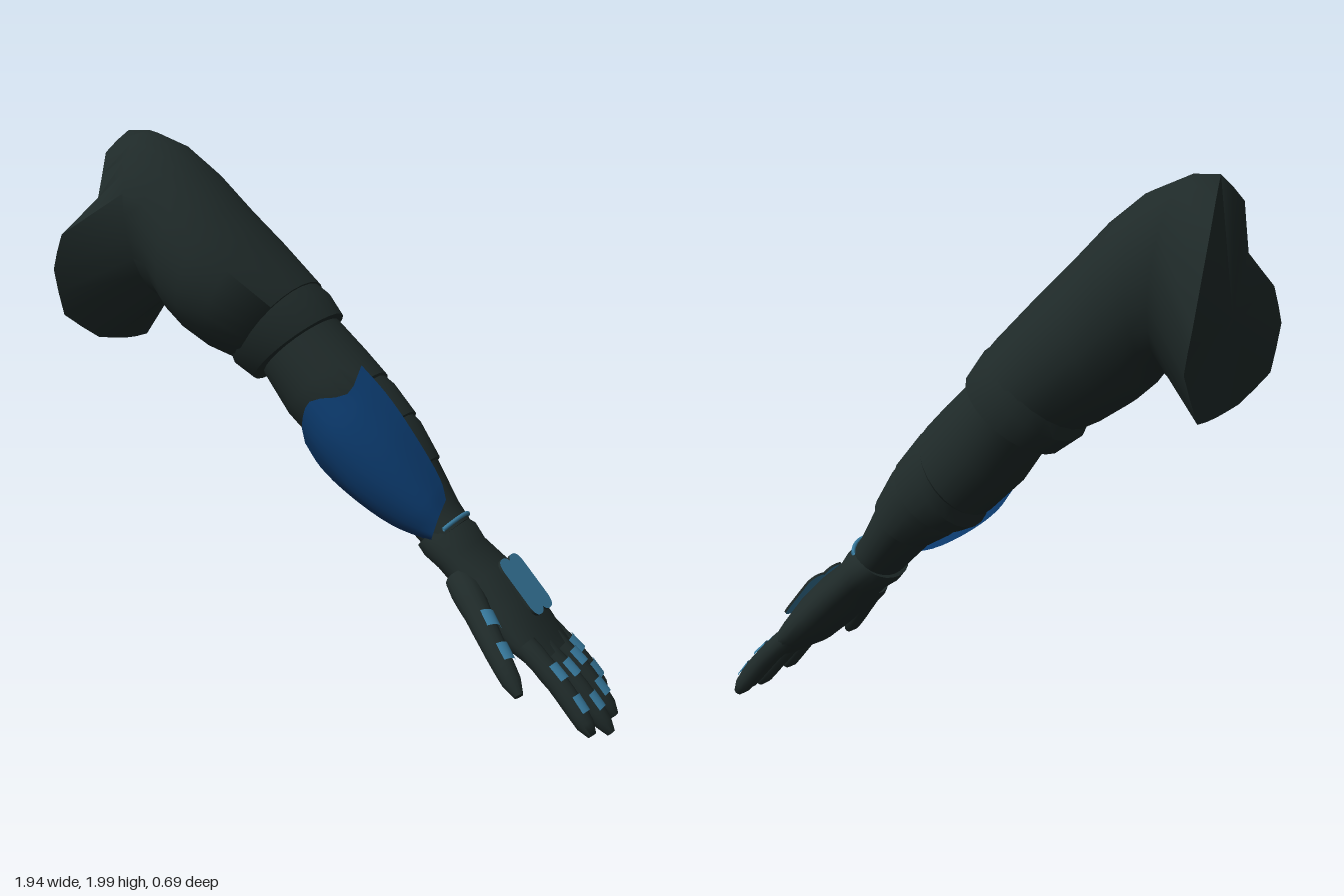
import * as THREE from 'three';
import { toCreasedNormals } from 'three/addons/utils/BufferGeometryUtils.js';

const V = (x, y, z) => new THREE.Vector3(x, y, z);
const N = 24;

// Oval section from its top point, bottom point and depth range
function oval([xt, yt, xb, yb, z0, z1]) {
  return Array.from({ length: N }, (_, i) => {
    const a = (i / N) * Math.PI * 2, c = Math.cos(a) / 2, s = Math.sin(a) / 2;
    return V((xt + xb) / 2 + c * (xt - xb), (yt + yb) / 2 + c * (yt - yb), (z0 + z1) / 2 + s * (z1 - z0));
  });
}

// Closed skin over a row of sections
function loft(rings, crease = 0.9) {
  const n = rings[0].length, pos = [], idx = [];
  rings.forEach((r) => r.forEach((p) => pos.push(p.x, p.y, p.z)));
  const ends = [rings[0], rings[rings.length - 1]].map((r) => {
    const c = r.reduce((s, p) => s.add(p), V(0, 0, 0)).divideScalar(n);
    pos.push(c.x, c.y, c.z);
    return pos.length / 3 - 1;
  });
  const last = (rings.length - 1) * n;
  for (let j = 0; j < n; j++) {
    const k = (j + 1) % n;
    for (let i = 0; i < rings.length - 1; i++) {
      const a = i * n + j, b = i * n + k;
      idx.push(a, b, a + n, b, b + n, a + n);
    }
    idx.push(ends[0], k, j, ends[1], last + j, last + k);
  }
  const g = new THREE.BufferGeometry();
  g.setAttribute('position', new THREE.Float32BufferAttribute(pos, 3));
  g.setIndex(idx);
  return toCreasedNormals(g, crease);
}

// Side and back-of-hand axes for a direction
function frame(d) {
  const side = V(0, 0, 1).addScaledVector(d, -d.z).normalize();
  return { side, up: side.clone().cross(d) };
}

// Round tapering limb along a smooth path
function limb(points, radii, n = 14) {
  const curve = new THREE.CatmullRomCurve3(points);
  const rings = radii.map((r, i) => {
    const t = i / (radii.length - 1), c = curve.getPointAt(t);
    const { side, up } = frame(curve.getTangentAt(t));
    return Array.from({ length: n }, (_, j) => {
      const a = (j / n) * Math.PI * 2;
      return c.clone().addScaledVector(up, r * Math.cos(a)).addScaledVector(side, r * Math.sin(a));
    });
  });
  return { curve, geometry: loft(rings, 1.2) };
}

// Open curved sheet from rows of points
function sheet(rows, n = 12) {
  const across = rows.map((r) => new THREE.CatmullRomCurve3(r.map((p) => V(...p))).getPoints(n));
  const pos = [], idx = [], m = 16;
  for (let j = 0; j <= n; j++) {
    const along = new THREE.CatmullRomCurve3(across.map((r) => r[j])).getPoints(m);
    along.forEach((p) => pos.push(p.x, p.y, p.z));
  }
  for (let j = 0; j < n; j++) for (let i = 0; i < m; i++) {
    const a = j * (m + 1) + i, b = a + m + 1;
    idx.push(a, b, a + 1, b, b + 1, a + 1);
  }
  const g = new THREE.BufferGeometry();
  g.setAttribute('position', new THREE.Float32BufferAttribute(pos, 3));
  g.setIndex(idx);
  g.computeVertexNormals();
  return g;
}

export function createModel() {
  const model = new THREE.Group();
  const mat = (name, color) => new THREE.MeshStandardMaterial({ name, color, side: THREE.DoubleSide });
  const cloth = mat('dark cloth', 0x1f2a29);
  const blue = mat('guard blue', 0x0a3768);
  const light = mat('plate blue', 0x37799d);
  const add = (name, geometry, material, parent = model) => {
    const m = new THREE.Mesh(geometry, material);
    m.name = name;
    parent.add(m);
    return m;
  };

  // Sleeve with an angular shoulder end and a flap towards the chest
  const rim = new THREE.CatmullRomCurve3([
    V(-0.92, 2.0, -0.06), V(-0.96, 1.92, 0.03), V(-0.95, 1.76, 0.1), V(-0.95, 1.64, 0.32),
    V(-0.97, 1.52, 0.345), V(-0.95, 1.36, 0.32), V(-0.9, 1.27, 0.19), V(-0.89, 1.25, 0.04),
    V(-0.89, 1.25, -0.1), V(-0.9, 1.42, -0.23), V(-0.96, 1.57, -0.31), V(-0.97, 1.85, -0.23),
  ], true, 'catmullrom', 0.1);
  const rimRing = Array.from({ length: N }, (_, i) => rim.getPoint(i / N));
  add('sleeve', loft([rimRing, ...[
    [-0.83, 2.0, -0.77, 1.4, -0.275, 0.16],
    [-0.7, 1.95, -0.74, 1.39, -0.28, 0.17],
    [-0.58, 1.86, -0.7, 1.34, -0.295, 0.19],
    [-0.46, 1.74, -0.63, 1.28, -0.31, 0.2],
    [-0.34, 1.62, -0.54, 1.22, -0.33, 0.18],
    [-0.2, 1.47, -0.44, 1.17, -0.33, 0.1],
  ].map((r) => oval(r))], 1.2), cloth);

  add('elbowCuff', loft([
    [-0.24, 1.49, -0.49, 1.21, -0.325, 0.1],
    [-0.165, 1.435, -0.48, 1.16, -0.34, 0.09],
    [-0.11, 1.36, -0.41, 1.11, -0.325, 0.06],
    [-0.13, 1.34, -0.37, 1.13, -0.31, 0.04],
  ].map((r) => oval(r)), 0.7), cloth);

  // Forearm of three overlapping bands narrowing to the wrist
  add('forearm', loft([
    [-0.15, 1.36, -0.37, 1.13, -0.31, 0.04],
    [-0.02, 1.24, -0.27, 0.99, -0.32, 0.05],
    [0.06, 1.16, -0.14, 0.87, -0.32, 0.05],
    [0.06, 1.15, -0.12, 0.87, -0.31, 0.045],
    [0.09, 1.13, -0.1, 0.82, -0.315, 0.05],
    [0.18, 1.03, -0.03, 0.79, -0.3, 0.05],
    [0.175, 1.02, -0.01, 0.8, -0.29, 0.04],
    [0.2, 1.0, 0.01, 0.77, -0.29, 0.04],
    [0.28, 0.88, 0.1, 0.72, -0.265, 0.03],
    [0.275, 0.87, 0.11, 0.72, -0.255, 0.025],
    [0.36, 0.73, 0.24, 0.6, -0.23, 0.02],
    [0.41, 0.68, 0.29, 0.56, -0.2, 0.02],
  ].map((r) => oval(r)), 0.6), cloth);

  // Curved guard over the front of the forearm
  add('forearmGuard', sheet([
    [[0.04, 1.2, -0.03], [0.025, 1.11, 0.05], [-0.1, 1.08, 0.09], [-0.135, 1.0, 0.08], [-0.15, 0.92, 0.03]],
    [[0.13, 1.11, -0.035], [0.09, 1.04, 0.06], [0.02, 0.97, 0.115], [-0.04, 0.9, 0.1], [-0.09, 0.84, 0.03]],
    [[0.22, 1.0, -0.035], [0.19, 0.93, 0.06], [0.13, 0.85, 0.11], [0.07, 0.78, 0.09], [0.02, 0.75, 0.025]],
    [[0.34, 0.82, -0.035], [0.32, 0.77, 0.04], [0.28, 0.72, 0.07], [0.22, 0.68, 0.06], [0.18, 0.66, 0.02]],
    [[0.365, 0.76, -0.02], [0.36, 0.71, 0.03], [0.35, 0.67, 0.04], [0.34, 0.64, 0.04], [0.33, 0.62, 0.02]],
  ]), blue);

  // Wrist trim over the back of the wrist
  const band = oval([0.4, 0.695, 0.28, 0.57, -0.215, 0.03]);
  add('wristTrim', new THREE.TubeGeometry(
    new THREE.CatmullRomCurve3([...band.slice(-4), ...band.slice(0, 5)]), 24, 0.008, 6), light);

  // Glove
  const hand = new THREE.Group();
  hand.name = 'hand';
  model.add(hand);
  add('palm', loft([
    [0.37, 0.69, 0.25, 0.575, -0.215, 0.025],
    [0.425, 0.66, 0.275, 0.545, -0.24, 0.04],
    [0.46, 0.61, 0.33, 0.51, -0.235, 0.04],
    [0.55, 0.54, 0.41, 0.435, -0.245, 0.05],
    [0.64, 0.45, 0.5, 0.345, -0.26, 0.07],
    [0.7, 0.37, 0.6, 0.265, -0.265, 0.075],
    [0.74, 0.31, 0.67, 0.23, -0.255, 0.07],
    [0.765, 0.28, 0.705, 0.21, -0.245, 0.06],
  ].map((r) => oval(r))), cloth, hand);

  // Floating rounded plates on the back of the hand, with dark edges
  const outline = new THREE.Shape();
  const w = 0.048, h = 0.112, r = 0.046;
  outline.moveTo(-w + r, -h).lineTo(w - r, -h).quadraticCurveTo(w, -h, w, -h + r)
    .lineTo(w, h - r).quadraticCurveTo(w, h, w - r, h).lineTo(-w + r, h)
    .quadraticCurveTo(-w, h, -w, h - r).lineTo(-w, -h + r).quadraticCurveTo(-w, -h, -w + r, -h);
  const plateGeo = new THREE.ExtrudeGeometry(outline, { depth: 0.009, bevelEnabled: false });
  const down = V(0.65, -0.76, 0).normalize();
  const { side: plateSide, up: plateUp } = frame(down);
  [[0.622, 0.474, -0.062], [0.615, 0.463, -0.172]].forEach((p) => {
    const plate = add('handPlate', plateGeo, [light, cloth], hand);
    plate.quaternion.setFromRotationMatrix(new THREE.Matrix4().makeBasis(plateSide, down, plateUp));
    plate.position.set(...p);
  });

  // Digits with two curved pads each
  const digit = (name, points, radii, pads) => {
    const { curve, geometry } = limb(points.map((p) => V(...p)), radii);
    add(name, geometry, cloth, hand);
    pads.forEach(([t, rad]) => {
      const pad = add(name + 'Pad', new THREE.CylinderGeometry(rad, rad, 0.062, 12, 1, true, -0.8, 1.6), light, hand);
      const d = curve.getTangentAt(t), { side, up } = frame(d);
      pad.quaternion.setFromRotationMatrix(new THREE.Matrix4().makeBasis(side, d, up));
      pad.position.copy(curve.getPointAt(t));
    });
  };
  const fingers = {
    indexFinger: [0.035, 0.93, 0.05, 0.073],
    middleFinger: [-0.05, 0.955, 0.015, -0.06],
    ringFinger: [-0.145, 0.935, 0.035, -0.168],
    littleFinger: [-0.215, 0.868, 0.065, -0.28],
  };
  for (const [name, [z, x, y, zt]] of Object.entries(fingers)) {
    const bx = name === 'littleFinger' ? 0.66 : 0.68, by = 0.31;
    digit(name, [[bx, by, z], [(bx + x) / 2 + 0.008, (by + y) / 2 + 0.008, (z + zt) / 2], [x, y, zt]],
      [0.038, 0.04, 0.038, 0.039, 0.037, 0.037, 0.036, 0.034, 0.031, 0.015], [[0.38, 0.043], [0.71, 0.04]]);
  }
  digit('thumb', [[0.43, 0.5, 0.01], [0.52, 0.42, 0.08], [0.61, 0.33, 0.15], [0.725, 0.2, 0.217]],
    [0.05, 0.054, 0.052, 0.047, 0.045, 0.042, 0.04, 0.037, 0.033, 0.016], [[0.43, 0.051], [0.69, 0.046]]);

  return model;
}
